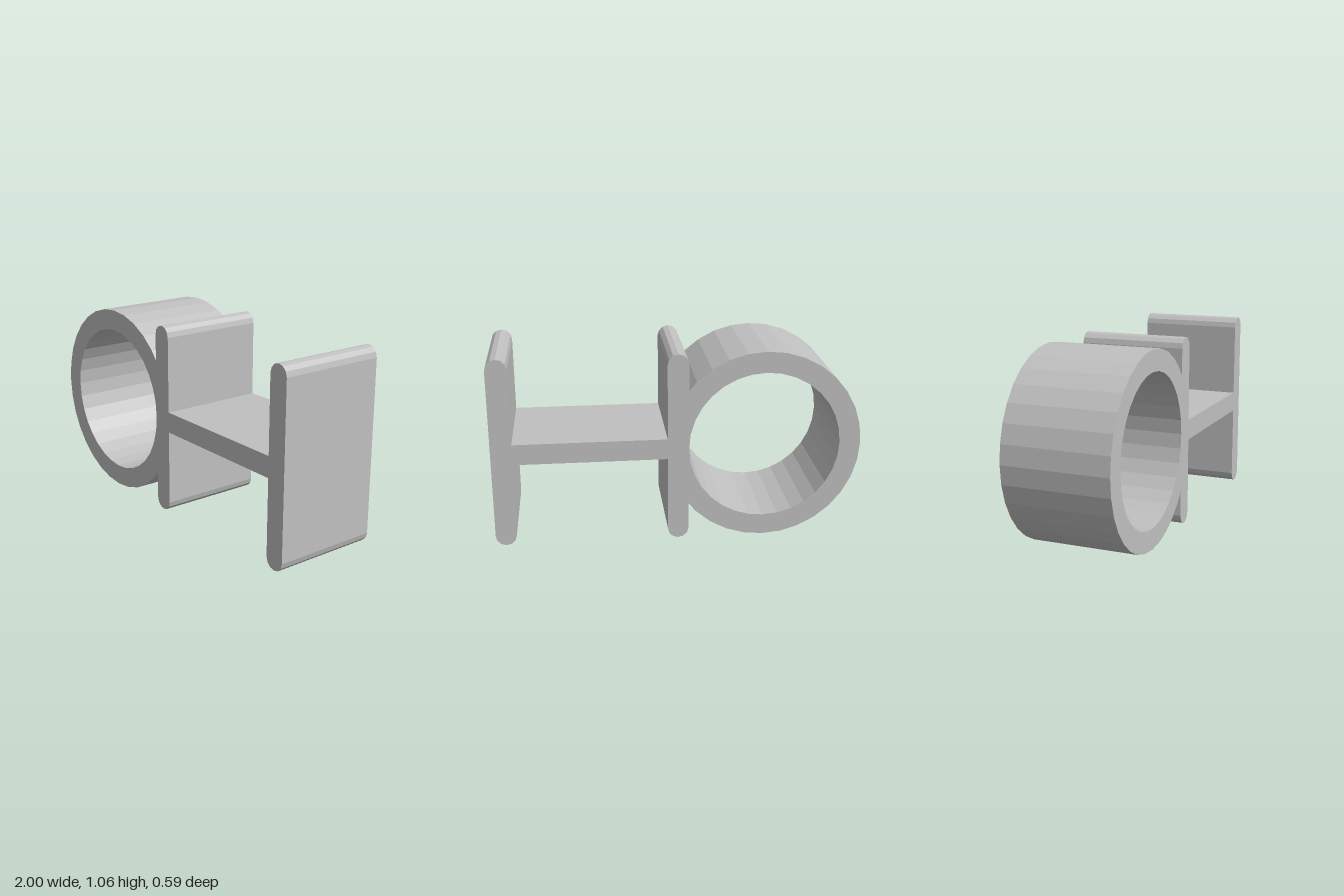
import * as THREE from 'three';

const DEPTH = 0.59;
const MID = 0.5287;    // mid height, also the ring's outer radius
const HALF = 0.057;    // half wall thickness of plates and web
const RING_X = -0.4713;
const INNER_R = 0.413;
const PLATE_X = 0.943; // centre of the outer plate

// Points along an arc, from angle a to angle b in degrees
function arc(cx, cy, r, a, b, steps) {
  return Array.from({ length: steps + 1 }, (_, i) => {
    const t = THREE.MathUtils.degToRad(a + ((b - a) * i) / steps);
    return new THREE.Vector2(cx + r * Math.cos(t), cy + r * Math.sin(t));
  });
}

const bottomCap = (x) => arc(x, HALF, HALF, 180, 360, 6);
const topCap = (x) => arc(x, 2 * MID - HALF, HALF, 0, 180, 6);
const point = (x, y) => new THREE.Vector2(x, y);

export function createModel() {
  const grey = new THREE.MeshStandardMaterial({ color: 0xc0c0c0 });
  grey.name = 'plain grey';

  const join = 0.3247; // height above the middle where the ring meets the plate

  // One counter-clockwise outline: inner plate, web, outer plate, ring
  const outline = new THREE.Shape([
    point(-HALF, MID - join),
    ...bottomCap(0),
    point(HALF, MID - HALF),
    point(PLATE_X - HALF, MID - HALF),
    ...bottomCap(PLATE_X),
    ...topCap(PLATE_X),
    point(PLATE_X - HALF, MID + HALF),
    point(HALF, MID + HALF),
    ...topCap(0),
    point(-HALF, MID + join),
    ...arc(RING_X, MID, MID, 45, 315, 24),
  ]);

  // Round bore of the ring
  const bore = arc(RING_X, MID, INNER_R, 0, -348.75, 31);
  outline.holes.push(new THREE.Path(bore));

  const geometry = new THREE.ExtrudeGeometry(outline, { depth: DEPTH, bevelEnabled: false });
  geometry.translate(0, 0, -DEPTH / 2);

  const clip = new THREE.Mesh(geometry, grey);
  clip.name = 'ringAndChannelProfile';

  const model = new THREE.Group();
  model.name = 'clip';
  model.add(clip);
  return model;
}
